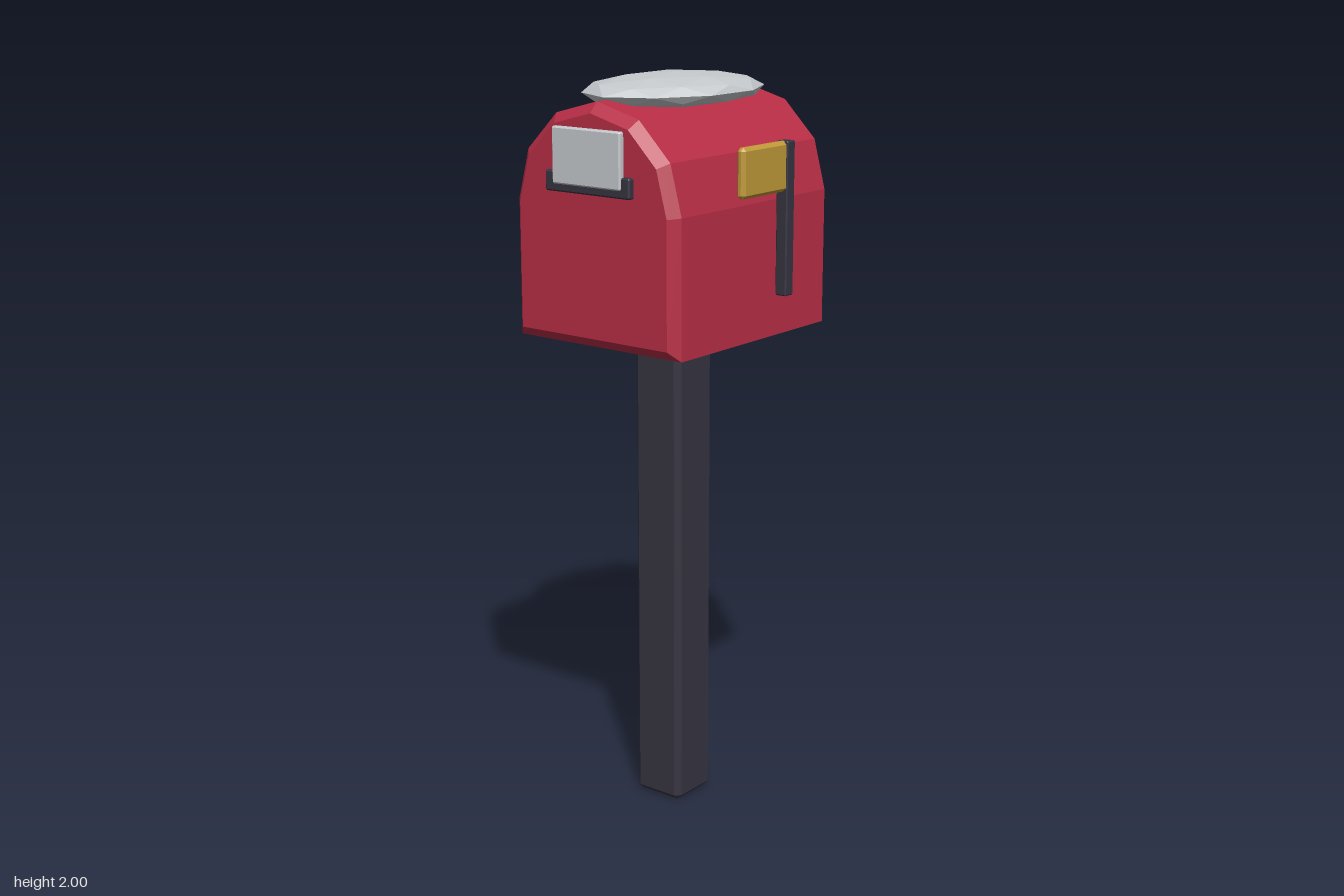
import * as THREE from 'three';
import { ConvexGeometry } from 'three/addons/geometries/ConvexGeometry.js';

const material = (name, color) => {
  const m = new THREE.MeshStandardMaterial({ color, flatShading: true });
  m.name = name;
  return m;
};

// Box with every edge chamfered by c, given as [min, max] per axis
function chamferBox([x0, x1], [y0, y1], [z0, z1], c) {
  const half = [(x1 - x0) / 2, (y1 - y0) / 2, (z1 - z0) / 2];
  const points = [];
  for (const sx of [-1, 1]) for (const sy of [-1, 1]) for (const sz of [-1, 1]) {
    for (let full = 0; full < 3; full++) {
      const [x, y, z] = half.map((h, i) => (i === full ? h : h - c));
      points.push(new THREE.Vector3(sx * x, sy * y, sz * z));
    }
  }
  return new ConvexGeometry(points).translate((x0 + x1) / 2, (y0 + y1) / 2, (z0 + z1) / 2);
}

// Arched box: straight sides, six-sided half round on top, bevelled rim
function boxGeometry() {
  const bevel = 0.026, r = 0.239, springY = 1.683, bottom = 1.33 + bevel, depth = 0.662;
  const points = [new THREE.Vector2(-r, bottom), new THREE.Vector2(r, bottom)];
  for (let i = 0; i <= 6; i++) {
    const a = (i / 6) * Math.PI;
    points.push(new THREE.Vector2(r * Math.cos(a), springY + r * Math.sin(a)));
  }
  const geometry = new THREE.ExtrudeGeometry(new THREE.Shape(points), {
    depth: depth - 2 * bevel, bevelEnabled: true, bevelSegments: 1,
    bevelSize: bevel, bevelThickness: bevel,
  });
  return geometry.translate(-0.023, 0, -0.343 + bevel);
}

// Flattened faceted mound, slightly uneven
function snowGeometry() {
  const geometry = new THREE.IcosahedronGeometry(1, 1);
  geometry.rotateX(-Math.atan2((1 + Math.sqrt(5)) / 2, 1)).rotateY(Math.PI / 2);
  const p = geometry.attributes.position;
  for (let i = 0; i < p.count; i++) {
    const x = p.getX(i), y = p.getY(i), z = p.getZ(i);
    const k = 1 + 0.02 * Math.sin(5 * x + 3 * z + 2 * y) * (1 - y * y);
    p.setXYZ(i, x * k * 0.203, y * 0.043, z * k * 0.282);
  }
  geometry.translate(-0.023, 1.957, -0.01);
  geometry.computeVertexNormals();
  return geometry;
}

export function createModel() {
  const red = material('red paint', 0xb92e46);
  const dark = material('dark metal', 0x363541);
  const gold = material('gold paint', 0xc0993a);
  const white = material('pale grey', 0xc6cacd);

  const model = new THREE.Group();
  model.name = 'mailbox';
  const add = (name, geometry, mat) => {
    const mesh = new THREE.Mesh(geometry, mat);
    mesh.name = name;
    model.add(mesh);
  };

  // Post and box
  add('post', chamferBox([-0.099, 0.052], [0, 1.36], [-0.085, 0.066], 0.015), dark);
  add('box', boxGeometry(), red);
  add('snowCap', snowGeometry(), white);

  // Slot with a letter sticking out of the front
  add('slot', chamferBox([-0.16, 0.113], [1.723, 1.775], [0.3, 0.336], 0.004), dark);
  add('letter', chamferBox([-0.133, 0.088], [1.743, 1.886], [0.322, 0.341], 0.004), white);

  // Signal flag on the left side
  add('flagPole', chamferBox([0.252, 0.286], [1.44, 1.838], [-0.117, -0.083], 0.003), dark);
  add('flag', chamferBox([0.256, 0.282], [1.71, 1.838], [-0.121, 0.097], 0.009), gold);

  return model;
}
